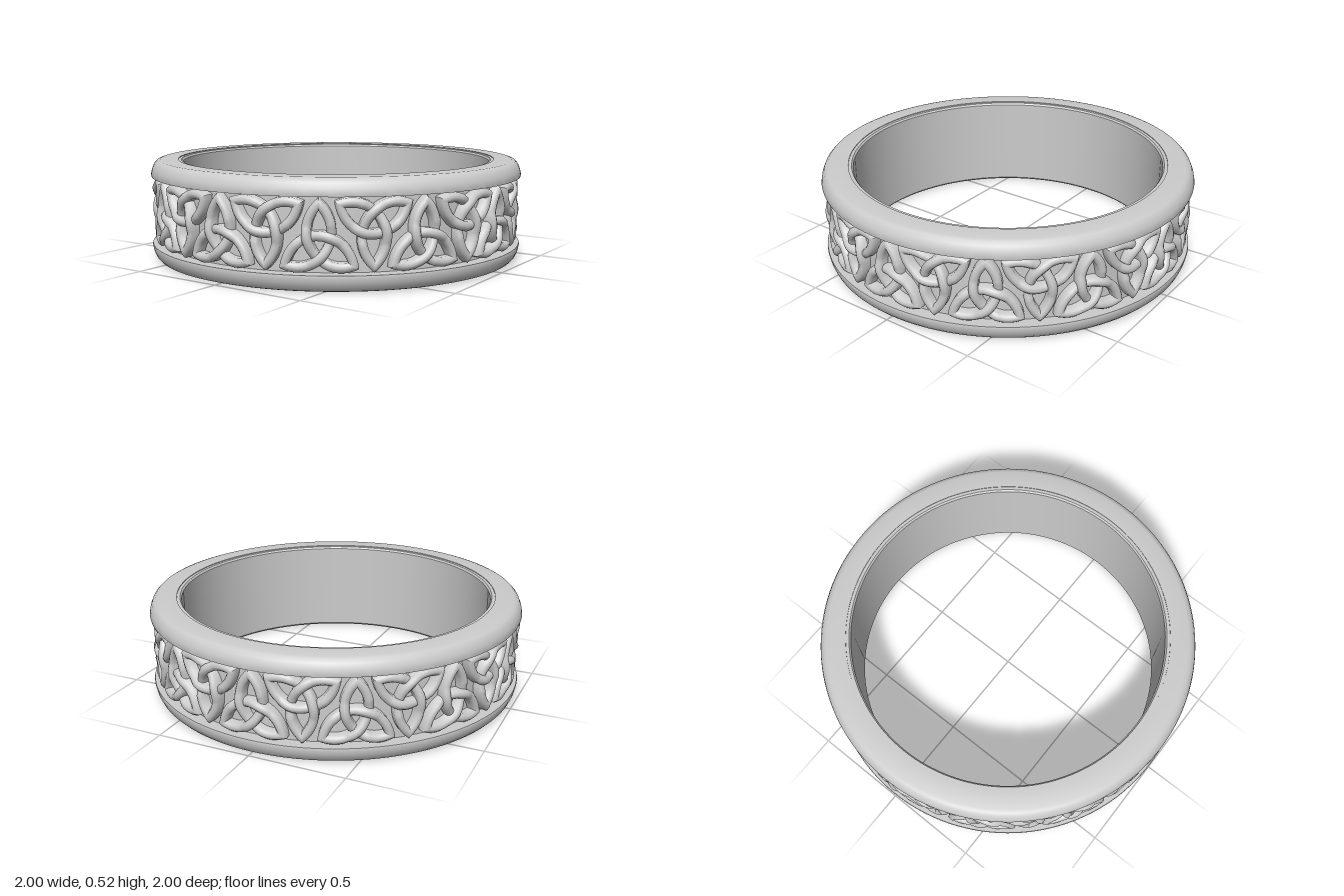
import * as THREE from 'three';
import { toCreasedNormals } from 'three/addons/utils/BufferGeometryUtils.js';

const material = new THREE.MeshStandardMaterial({ color: 0xcccccc });
const HEIGHT = 0.525;
const KNOTS = 24;

// Closed radius/height profile spun into a ring
function ring(name, profile) {
  const points = [...profile, profile[0]].map(([r, y]) => new THREE.Vector2(r, y));
  const mesh = new THREE.Mesh(toCreasedNormals(new THREE.LatheGeometry(points, 160), 0.5), material);
  mesh.name = name;
  return mesh;
}

// Three-cornered knot: three interlaced arcs, drawn flat and then wrapped round the band
function knotGeometry(centreY, turn) {
  const a = 0.163;                        // half the distance between corners
  const alpha = THREE.MathUtils.degToRad(80); // half the angle of each arc
  const crossing = alpha - Math.PI / 3;   // where the arcs cross
  const rho = a / Math.sin(alpha);
  const centre = a / Math.sqrt(3) + rho * Math.cos(alpha);
  const mitre = 1 / Math.tan(alpha - Math.PI / 6);
  // Domed cross-section: width, height
  const section = [[0.023, -0.045], [0.023, 0], [0.014, 0.011], [0, 0.016],
    [-0.014, 0.011], [-0.023, 0], [-0.023, -0.045]];
  const steps = 44;
  const n = section.length;
  const positions = [];
  const index = [];

  for (let arc = 0; arc < 3; arc++) {
    const dir = turn + (arc * 2 * Math.PI) / 3;
    const u = new THREE.Vector2(Math.cos(dir), Math.sin(dir));
    const v = new THREE.Vector2(-u.y, u.x);
    const start = positions.length / 3;
    for (let i = 0; i <= steps; i++) {
      const t = alpha * ((2 * i) / steps - 1);
      const c = Math.cos(t);
      const s = Math.sin(t);
      // Over at one crossing, under at the next
      const weave = Math.abs(t) < 2 * crossing ? 0.01 * Math.sin((Math.PI * t) / (2 * crossing)) : 0;
      // Slant the ends so that two arcs meet in a sharp corner
      const slant = Math.sign(t) * mitre * THREE.MathUtils.smoothstep(Math.abs(t), alpha - 0.3, alpha);
      for (const [w, h] of section) {
        const p = new THREE.Vector2()
          .addScaledVector(u, centre - (rho + w) * c + w * slant * s)
          .addScaledVector(v, (rho + w) * s + w * slant * c);
        const r = 0.968 + h + (h < -0.02 ? 0 : weave);
        positions.push(r * Math.sin(p.x), centreY + p.y, r * Math.cos(p.x));
      }
    }
    for (let i = 0; i < steps; i++) {
      for (let j = 0; j < n; j++) {
        const k = (j + 1) % n;
        const p = start + i * n;
        index.push(p + j, p + k, p + n + k, p + j, p + n + k, p + n + j);
      }
    }
  }
  const geometry = new THREE.BufferGeometry();
  geometry.setAttribute('position', new THREE.Float32BufferAttribute(positions, 3));
  geometry.setIndex(index);
  return toCreasedNormals(geometry, 0.8);
}

export function createModel() {
  const model = new THREE.Group();
  model.name = 'ring';

  // Rounded edge rims, the upper one mirrored from the lower
  const rim = [[0.855, 0], [0.95, 0], [0.968, 0.006], [0.983, 0.022], [0.994, 0.048],
    [1, 0.076], [0.998, 0.084], [0.92, 0.084], [0.855, 0.084]];
  model.add(ring('lowerRim', rim));
  model.add(ring('upperRim', rim.map(([r, y]) => [r, HEIGHT - y]).reverse()));

  // Inner sleeve, with softened edges
  model.add(ring('innerSleeve', [[0.838, 0.004], [0.858, 0.004], [0.858, HEIGHT - 0.004],
    [0.838, HEIGHT - 0.004], [0.83, HEIGHT - 0.014], [0.83, 0.014]]));

  // Recessed floor behind the knots
  model.add(ring('bandFloor', [[0.85, 0.07], [0.932, 0.07], [0.932, HEIGHT - 0.07], [0.85, HEIGHT - 0.07]]));

  // Knots pointing up and down in turn
  const upright = knotGeometry(0.217, -Math.PI / 2);
  const inverted = knotGeometry(HEIGHT - 0.217, Math.PI / 2);
  const knots = new THREE.Group();
  knots.name = 'knotBand';
  for (let i = 0; i < KNOTS; i++) {
    const knot = new THREE.Mesh(i % 2 ? inverted : upright, material);
    knot.name = i % 2 ? 'invertedKnot' : 'uprightKnot';
    knot.rotation.y = (i * 2 * Math.PI) / KNOTS;
    knots.add(knot);
  }
  model.add(knots);
  return model;
}
